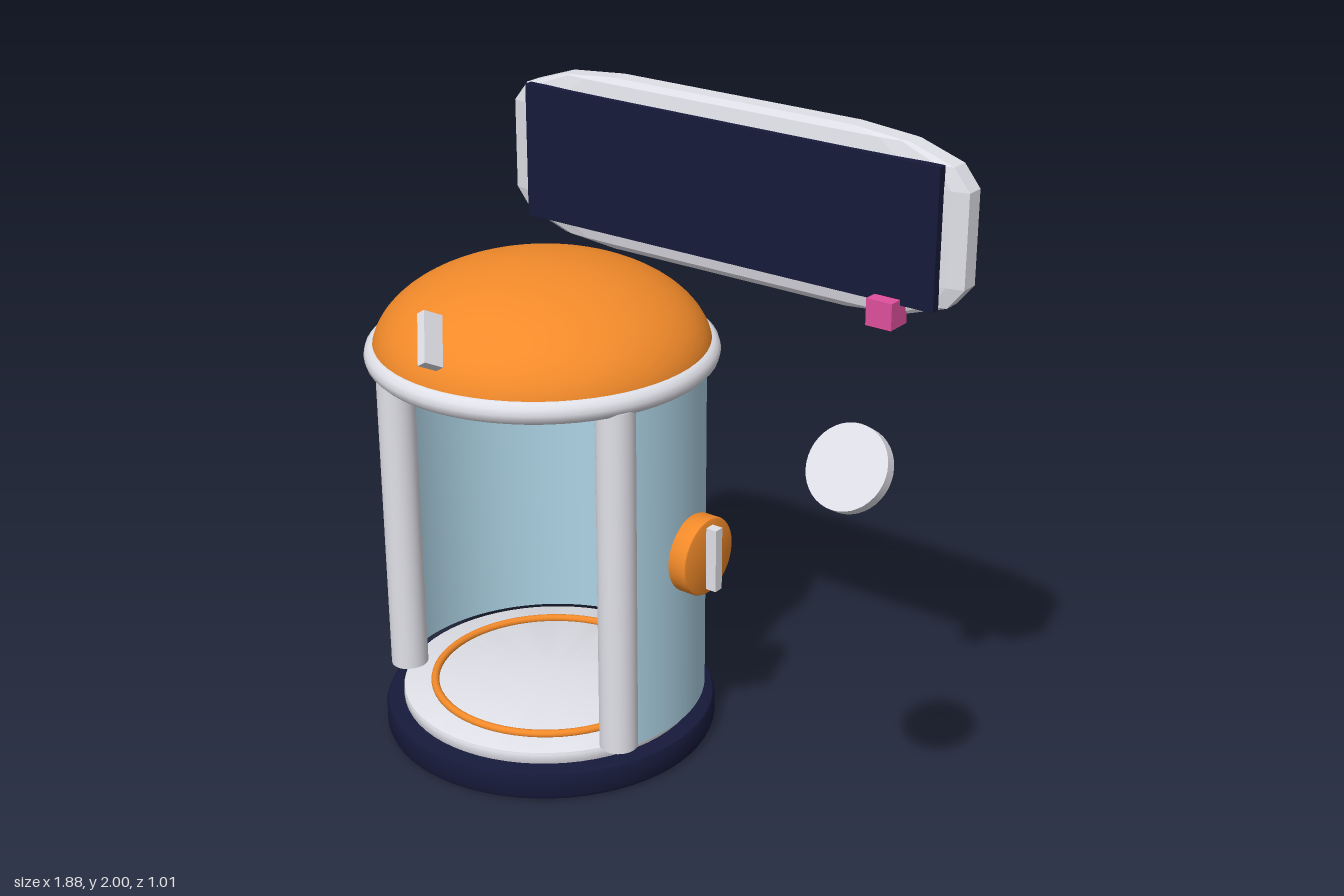
import * as THREE from 'three';
import { toCreasedNormals } from 'three/addons/utils/BufferGeometryUtils.js';

const mat = (color, extra = {}) => new THREE.MeshStandardMaterial({ color, ...extra });
const orange = mat(0xf28a2a);
const white = mat(0xe0e0e8);
const navy = mat(0x161a3a);
const pink = mat(0xe0509c);
const glass = mat(0xaed4e6, { side: THREE.DoubleSide });

function add(parent, name, geometry, material, x = 0, y = 0, z = 0) {
  const mesh = new THREE.Mesh(geometry, material);
  mesh.name = name;
  mesh.position.set(x, y, z);
  parent.add(mesh);
  return mesh;
}

// Solid disc standing on y = 0 with softened rims
function disc(r, h, b) {
  const k = b * 0.3;
  const points = [[0, 0], [r - b, 0], [r - k, k], [r, b], [r, h - b], [r - k, h - k], [r - b, h], [0, h]];
  const geometry = new THREE.LatheGeometry(points.map(([x, y]) => new THREE.Vector2(x, y)), 64);
  return toCreasedNormals(geometry, 0.6);
}

function ring(radius, tube) {
  return new THREE.TorusGeometry(radius, tube, 12, 64).rotateX(Math.PI / 2);
}

// Box with 3-step rounded edges: a sphere split into octants that are pushed apart
function roundedSlab(w, h, d, r) {
  const geometry = new THREE.SphereGeometry(1, 16, 9);
  const pos = geometry.attributes.position;
  const inner = 0.5 - r;
  const step = (n) => (Math.floor(n / 4) * 90 + (n % 4) * 30) * Math.PI / 180;
  for (let row = 0; row <= 9; row++) {
    for (let col = 0; col <= 16; col++) {
      const c = col % 16, i = row * 17 + col;
      const side = row < 5 ? 1 : -1;
      if (row === 0 || row === 9) {
        pos.setXYZ(i, 0, side * h / 2, 0);
        continue;
      }
      const lat = step(row - 1), lon = step(c), q = Math.floor(c / 4);
      const sx = q === 0 || q === 3 ? -1 : 1;
      const sz = q < 2 ? 1 : -1;
      pos.setXYZ(i,
        w * (sx * inner - r * Math.sin(lat) * Math.cos(lon)),
        h * (side * inner + r * Math.cos(lat)),
        d * (sz * inner + r * Math.sin(lat) * Math.sin(lon)));
    }
  }
  const flat = geometry.toNonIndexed();
  flat.computeVertexNormals();
  return flat;
}

function createBooth() {
  const booth = new THREE.Group();
  booth.name = 'booth';

  // Base and floor
  add(booth, 'base', disc(0.49, 0.09, 0.018), navy);
  add(booth, 'floor', disc(0.438, 0.04, 0.008), white, 0, 0.087);
  add(booth, 'floorRing', ring(0.345, 0.012), orange, 0, 0.132);

  // Curved wall, open at the front
  const gap = 1.13;
  add(booth, 'wall',
    new THREE.CylinderGeometry(0.46, 0.46, 1.04, 64, 1, true, gap, 2 * Math.PI - 2 * gap),
    glass, 0, 0.64);

  // Pillars beside the opening
  for (const [name, s] of [['leftPillar', 1], ['rightPillar', -1]]) {
    add(booth, name, new THREE.CylinderGeometry(0.055, 0.055, 1.04, 32), white, s * 0.4, 0.645, 0.185);
  }

  // Ceiling, trim and dome
  add(booth, 'ceiling', disc(0.46, 0.04, 0.005), white, 0, 1.15);
  add(booth, 'ceilingRing', ring(0.35, 0.013), orange, 0, 1.13);
  add(booth, 'roofTrim', ring(0.465, 0.034), white, 0, 1.184);
  const dome = new THREE.SphereGeometry(0.478, 64, 24, 0, Math.PI * 2, 0, Math.PI / 2);
  dome.scale(1, 0.26 / 0.478, 1);
  add(booth, 'dome', dome, orange, 0, 1.18);

  // Small blade leaning on the front of the dome
  const blade = add(booth, 'blade', new THREE.BoxGeometry(0.03, 0.15, 0.06), white, -0.01, 1.34, 0.447);
  blade.rotation.set(-0.56, 0, 0.57, 'ZYX');

  // Round knob with a grip on the left side
  const knob = new THREE.Group();
  knob.name = 'knob';
  knob.position.set(0.455, 0.645, -0.085);
  add(knob, 'knobDisc', disc(0.115, 0.062, 0.008).rotateZ(-Math.PI / 2), orange);
  add(knob, 'knobGrip', new THREE.BoxGeometry(0.045, 0.19, 0.03), white, 0.073);
  booth.add(knob);
  return booth;
}

function createSign() {
  const sign = new THREE.Group();
  sign.name = 'sign';
  add(sign, 'signBody', roundedSlab(1.39, 0.464, 0.095, 0.24), mat(0xe0e0e8, { flatShading: true }), 0.193, 1.768, -0.013);
  add(sign, 'signPanel', new THREE.BoxGeometry(1.26, 0.363, 0.025), navy, 0.195, 1.768, 0.035);
  add(sign, 'signMarker', new THREE.BoxGeometry(0.073, 0.07, 0.072), pink, 0.697, 1.566, 0.049);
  return sign;
}

export function createModel() {
  const model = new THREE.Group();
  model.name = 'boothWithSign';

  const booth = createBooth();
  booth.position.set(-0.445, 0, -0.01);
  model.add(booth, createSign());

  // Floating token, tilted up towards the front
  const token = add(model, 'token', new THREE.CylinderGeometry(0.106, 0.106, 0.033, 40), white, 0.835, 1.318, 0.418);
  token.rotation.x = 1.0;
  return model;
}
